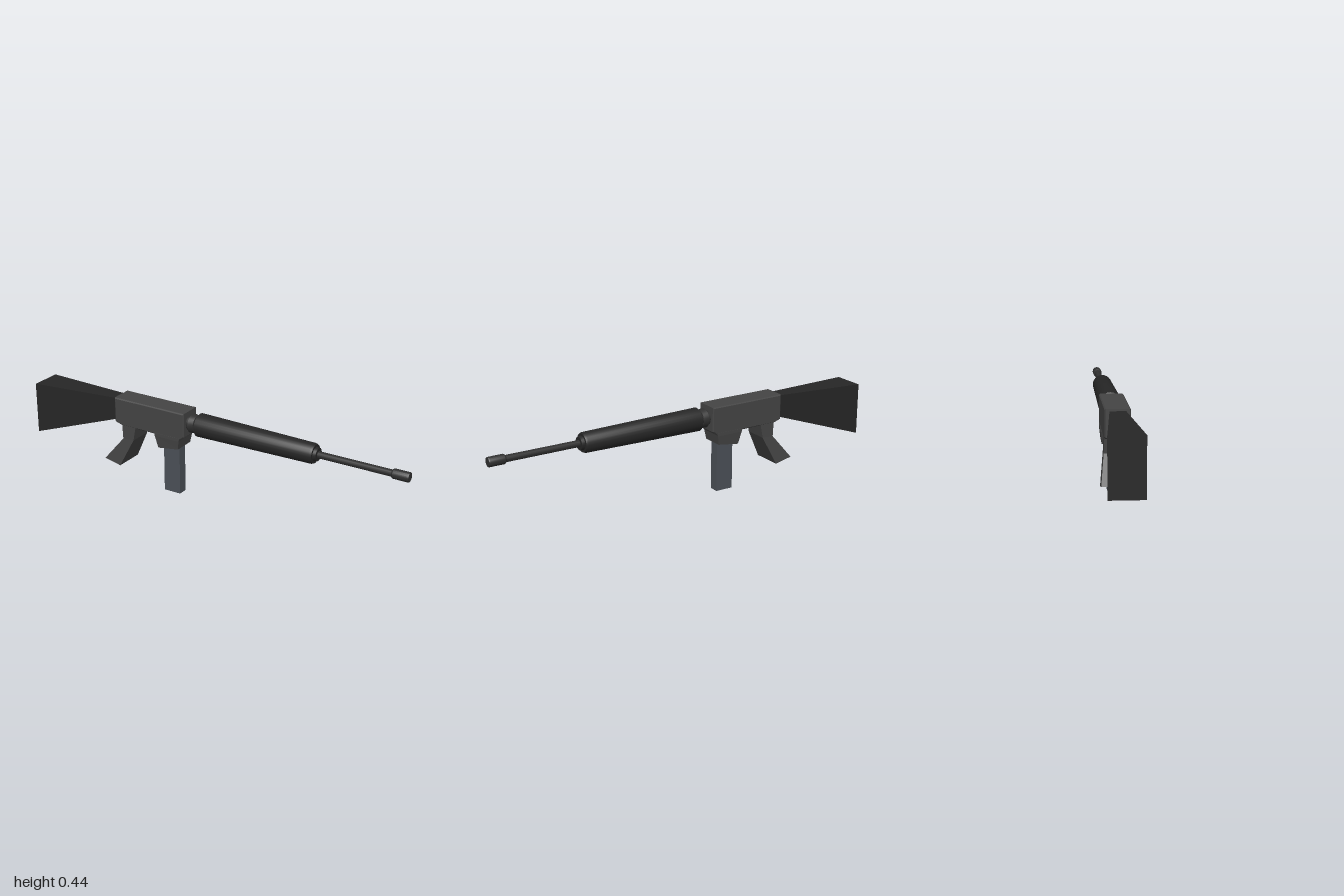
import * as THREE from 'three';
import { toCreasedNormals } from 'three/addons/utils/BufferGeometryUtils.js';

const AXIS_Y = 0.38;

function material(color, flat = true) {
  return new THREE.MeshStandardMaterial({ color, flatShading: flat });
}

// Four-sided solid through sections [ax, ay, bx, by, halfWidth]:
// each section is an edge a-b in the side profile, spread to both sides in z.
function loft(sections) {
  const pos = [], index = [];
  for (const [ax, ay, bx, by, w] of sections) {
    pos.push(ax, ay, w, bx, by, w, bx, by, -w, ax, ay, -w);
  }
  for (let i = 0; i < sections.length - 1; i++) {
    for (let k = 0; k < 4; k++) {
      const a = i * 4 + k, b = i * 4 + (k + 1) % 4;
      index.push(a, a + 4, b + 4, a, b + 4, b);
    }
  }
  const e = (sections.length - 1) * 4;
  index.push(0, 1, 2, 0, 2, 3, e, e + 2, e + 1, e, e + 3, e + 2);
  const g = new THREE.BufferGeometry();
  g.setAttribute('position', new THREE.Float32BufferAttribute(pos, 3));
  g.setIndex(index);
  const flat = g.toNonIndexed();
  flat.computeVertexNormals();
  return flat;
}

// Turned part along x from [x, radius] pairs
function turned(profile) {
  const points = profile.map(([x, r]) => new THREE.Vector2(r, x));
  const g = new THREE.LatheGeometry(points, 24);
  g.rotateZ(-Math.PI / 2);
  g.translate(0, AXIS_Y, 0);
  return toCreasedNormals(g, 0.5);
}

export function createModel() {
  const model = new THREE.Group();
  const add = (name, geometry, mat) => {
    const mesh = new THREE.Mesh(geometry, mat);
    mesh.name = name;
    model.add(mesh);
  };
  const body = material(0x444444);
  const dark = material(0x262626);
  const round = material(0x262626, false);
  const steel = material(0x303030, false);

  // Receiver: side profile with clipped lower corners and a fine bevel
  const b = 0.005;
  const side = new THREE.Shape([
    [-0.52, 0.435], [-0.13, 0.435], [-0.13, 0.322], [-0.148, 0.307],
    [-0.485, 0.307], [-0.52, 0.318],
  ].map(([x, y]) => new THREE.Vector2(x, y)));
  const receiver = new THREE.ExtrudeGeometry(side, {
    depth: 0.104, bevelEnabled: true, bevelSize: b, bevelThickness: b, bevelSegments: 1,
  });
  receiver.translate(0, 0, -0.052);
  add('receiver', receiver, body);

  // Magazine well and magazine
  add('magazineWell', loft([
    [-0.29, 0.31, -0.148, 0.31, 0.059],
    [-0.29, 0.295, -0.152, 0.295, 0.059],
    [-0.272, 0.234, -0.16, 0.25, 0.054],
  ]), body);
  const magazine = new THREE.BoxGeometry(0.09, 0.26, 0.048);
  magazine.translate(-0.215, 0.13, 0);
  add('magazine', magazine, material(0x4b5057));

  // Raked pistol grip, flaring towards its foot
  add('grip', loft([
    [-0.485, 0.32, -0.402, 0.32, 0.055],
    [-0.478, 0.235, -0.417, 0.238, 0.058],
    [-0.58, 0.112, -0.49, 0.093, 0.075],
  ]), body);

  // Tapered stock
  add('stock', loft([
    [-0.515, 0.43, -0.515, 0.325, 0.035],
    [-1, 0.42, -1, 0.16, 0.078],
  ]), dark);

  // Barrel nut between receiver and handguard
  add('barrelNut', turned([
    [-0.13, 0], [-0.13, 0.036], [-0.113, 0.036], [-0.11, 0.047],
    [-0.082, 0.043], [-0.079, 0.036], [-0.06, 0.036], [-0.06, 0],
  ]), steel);

  // Handguard with a stepped front collar
  add('handguard', turned([
    [-0.072, 0], [-0.072, 0.052], [-0.068, 0.057], [0.535, 0.048],
    [0.545, 0.044], [0.545, 0.033], [0.56, 0.031], [0.56, 0],
  ]), round);

  // Barrel and muzzle
  add('barrel', turned([[0.55, 0], [0.55, 0.016], [0.93, 0.016], [0.93, 0]]), steel);
  add('muzzle', turned([
    [0.918, 0], [0.918, 0.018], [0.925, 0.023], [0.996, 0.023], [1, 0.021], [1, 0],
  ]), steel);

  return model;
}
